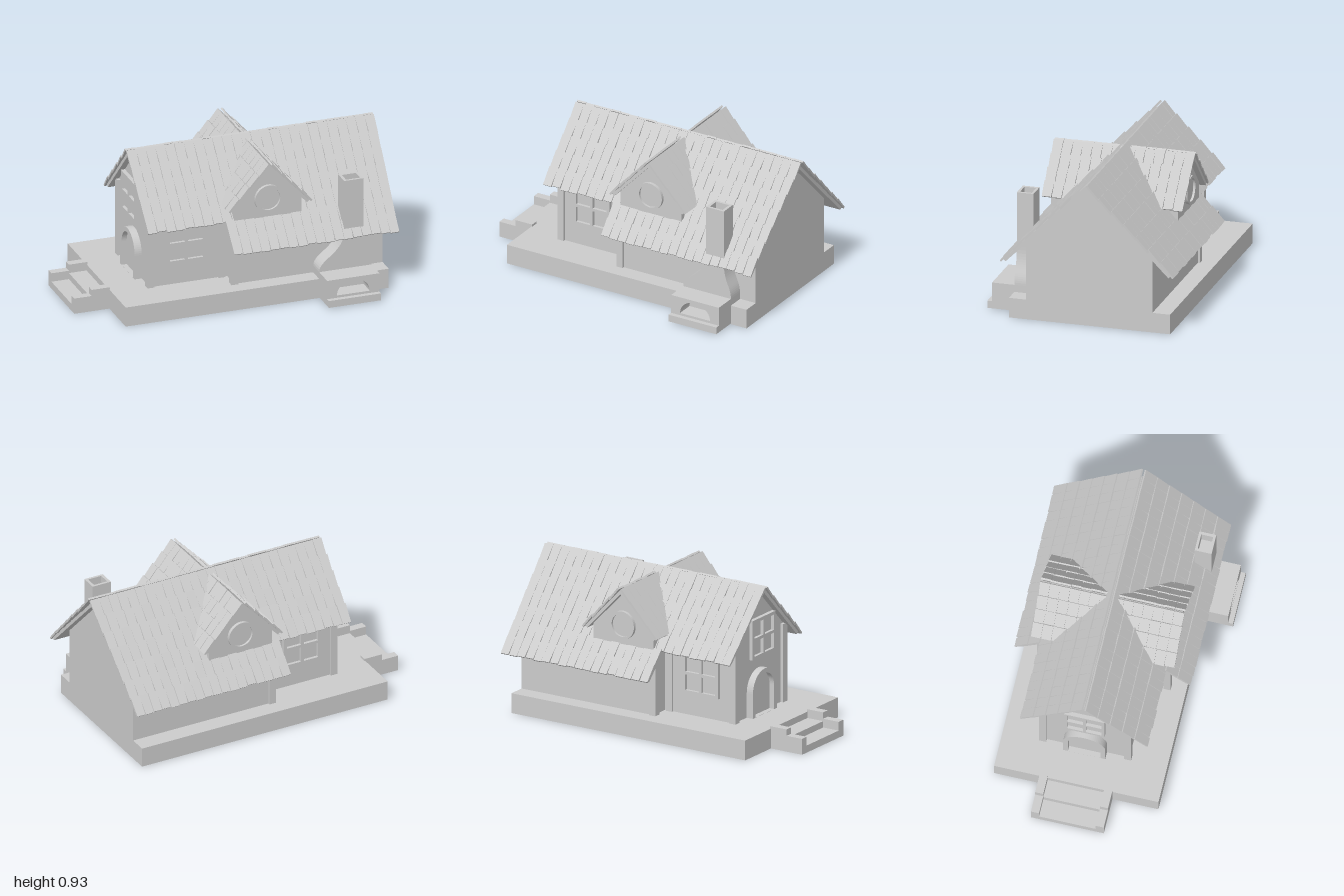
import * as THREE from 'three';
import { mergeGeometries } from 'three/addons/utils/BufferGeometryUtils.js';

const mat = new THREE.MeshStandardMaterial({ color: 0xcccccc, flatShading: true });
const ZC = -0.07; // ridge line in z
const DX = 0.175; // dormer centre in x

let seed = 7;
const rand = () => (seed = (seed * 16807) % 2147483647) / 2147483647 - 0.5;

function add(parent, name, geo) {
  const m = new THREE.Mesh(geo, mat);
  m.name = name;
  parent.add(m);
  return m;
}

function box(parent, name, x0, x1, y0, y1, z0, z1) {
  const g = new THREE.BoxGeometry(x1 - x0, y1 - y0, z1 - z0);
  g.translate((x0 + x1) / 2, (y0 + y1) / 2, (z0 + z1) / 2);
  return add(parent, name, g);
}

const poly = (pts) => new THREE.Shape(pts.map((p) => new THREE.Vector2(p[0], p[1])));
const extrude = (shape, depth) =>
  new THREE.ExtrudeGeometry(shape, { depth, bevelEnabled: false, curveSegments: 16 });

// House-shaped outline: straight sides, pointed top
const gable = (half, y0, ySide, yTop) =>
  poly([[-half, y0], [half, y0], [half, ySide], [0, yTop], [-half, ySide]]);

// Extrude a (z, y) outline along x
function extrudeX(shape, x0, x1) {
  const g = extrude(shape, x1 - x0);
  g.rotateY(Math.PI / 2);
  g.translate(x0, 0, ZC);
  return g;
}

// Arch outline standing on y0
function arch(r, y0, ySpring, ry = r) {
  const s = new THREE.Shape();
  s.moveTo(-r, y0);
  s.lineTo(r, y0);
  s.lineTo(r, ySpring);
  s.absellipse(0, ySpring, r, ry, 0, Math.PI, false);
  s.closePath();
  return s;
}

// Box on a slope: a runs along the ridge, v down the slope, w out of it
function slopeBox(f, a0, a1, v0, v1, w0, w1, { tilt = 0, twist = 0, taper = 1 } = {}) {
  const g = new THREE.BoxGeometry(a1 - a0, w1 - w0, v1 - v0);
  const p = g.attributes.position;
  for (let i = 0; i < p.count; i++) if (p.getZ(i) > 0) p.setX(i, p.getX(i) * taper);
  g.rotateX(-tilt);
  g.rotateY(twist);
  const X = new THREE.Vector3().crossVectors(f.n, f.d);
  const pos = f.o.clone()
    .addScaledVector(f.along, (a0 + a1) / 2)
    .addScaledVector(f.d, (v0 + v1) / 2)
    .addScaledVector(f.n, (w0 + w1) / 2);
  g.applyMatrix4(new THREE.Matrix4().makeBasis(X, f.n, f.d).setPosition(pos));
  return g;
}

// One row of overlapping shingles
function tileRow(f, a0, a1, row, pitch, out) {
  const n = Math.max(1, Math.round((a1 - a0) / 0.06));
  const w = (a1 - a0) / n;
  for (let i = 0; i < n; i++) {
    const j = rand() * 0.01;
    const lift = 0.008 + rand() * 0.004;
    out.push(slopeBox(f, a0 + i * w, a0 + (i + 1) * w, row * pitch, (row + 1) * pitch + 0.012 + j,
      lift - 0.006, lift + 0.006, { tilt: -0.07, twist: rand() * 0.06, taper: 0.92 }));
  }
}

// Four-pane window facing +z, centred on its own origin
function windowUnit(size) {
  const g = new THREE.Group();
  g.name = 'window';
  const h = size / 2, t = 0.02;
  const frame = poly([[-h, -h], [h, -h], [h, h], [-h, h]]);
  const gap = h - t, m = 0.009;
  for (const sx of [-1, 1]) for (const sy of [-1, 1]) {
    frame.holes.push(poly([[sx * m, sy * m], [sx * gap, sy * m], [sx * gap, sy * gap], [sx * m, sy * gap]]));
  }
  add(g, 'windowFrame', extrude(frame, 0.025));
  box(g, 'windowPane', -gap, gap, -gap, gap, -0.005, 0.006);
  return g;
}

function place(parent, obj, x, y, z, ry = 0) {
  obj.position.set(x, y, z);
  obj.rotation.y = ry;
  parent.add(obj);
}

function mainRoof(parent) {
  const c = Math.SQRT1_2, pitch = 0.107, tiles = [], boards = [];
  for (const s of [1, -1]) {
    const f = {
      o: new THREE.Vector3(0, 0.914, ZC), along: new THREE.Vector3(1, 0, 0),
      d: new THREE.Vector3(0, -c, s * c), n: new THREE.Vector3(0, c, s * c),
    };
    boards.push(slopeBox(f, -0.085, 0.955, 0, 0.745, -0.02, 0));
    boards.push(slopeBox(f, -0.575, -0.085, 0, 0.525, -0.02, 0));
    for (let r = 0; r < 7; r++) tileRow(f, r < 5 ? -0.59 : -0.093, 0.995 - r * 0.005, r, pitch, tiles);
  }
  add(parent, 'roofBoards', mergeGeometries(boards));
  add(parent, 'roofTiles', mergeGeometries(tiles));
}

// Dormer built facing +z; the ridge line of the house is at local z = 0
function dormer() {
  const g = new THREE.Group();
  g.name = 'dormer';
  const face = 0.4, front = 0.445, ang = Math.atan(1.05), rows = 4, pitch = 0.092;
  const c = Math.cos(ang), sn = Math.sin(ang);
  const wall = extrude(gable(0.215, 0.5, 0.64, 0.866), 0.33);
  wall.translate(0, 0, face - 0.33);
  add(g, 'dormerWall', wall);

  const tiles = [], boards = [];
  for (const s of [1, -1]) {
    const f = {
      o: new THREE.Vector3(0, 0.888, 0), along: new THREE.Vector3(0, 0, 1),
      d: new THREE.Vector3(s * c, -sn, 0), n: new THREE.Vector3(s * sn, c, 0),
    };
    for (let r = 0; r < rows; r++) {
      const start = Math.max(0.01, 0.93 - (0.888 - r * pitch * sn) - 0.05);
      boards.push(slopeBox(f, start, front - 0.012, r * pitch, (r + 1) * pitch, -0.02, 0));
      tileRow(f, start, front, r, pitch, tiles);
    }
  }
  add(g, 'dormerBoards', mergeGeometries(boards));
  add(g, 'dormerTiles', mergeGeometries(tiles));

  // Round window
  const ring = new THREE.Shape().absarc(0, 0, 0.088, 0, Math.PI * 2, false);
  ring.holes.push(new THREE.Path().absarc(0, 0, 0.072, 0, Math.PI * 2, true));
  const ringGeo = new THREE.ExtrudeGeometry(ring, { depth: 0.025, bevelEnabled: false, curveSegments: 24 });
  ringGeo.translate(0, 0.66, face - 0.005);
  add(g, 'roundWindowFrame', ringGeo);
  const pane = new THREE.CylinderGeometry(0.075, 0.075, 0.012, 32);
  pane.rotateX(Math.PI / 2);
  pane.translate(0, 0.66, face);
  add(g, 'roundWindowPane', pane);
  return g;
}

function chimney() {
  const g = new THREE.Group();
  g.name = 'chimney';
  const cx = 0.6325, cs = 0.6875;
  // Curved shoulder narrowing to the stack
  const s = new THREE.Shape();
  s.moveTo(0.465, 0.1);
  s.lineTo(0.8, 0.1);
  s.lineTo(0.8, 0.17);
  s.bezierCurveTo(0.8, 0.25, 0.75, 0.27, 0.75, 0.4);
  s.lineTo(0.75, 0.66);
  s.lineTo(0.625, 0.66);
  s.lineTo(0.625, 0.4);
  s.bezierCurveTo(0.61, 0.27, 0.465, 0.25, 0.465, 0.17);
  s.closePath();
  const body = extrude(s, 0.105);
  body.translate(0, 0, 0.33);
  add(g, 'chimneyBody', body);
  // Hollow top
  const rim = (w, d) => poly([[-w, -d], [w, -d], [w, d], [-w, d]]);
  const top = rim(0.0625, 0.0525);
  top.holes.push(rim(0.045, 0.037));
  const topGeo = extrude(top, 0.085);
  topGeo.rotateX(-Math.PI / 2);
  topGeo.translate(cs, 0.66, 0.3825);
  add(g, 'chimneyTop', topGeo);
  // Hearth with arched opening
  const h = poly([[-0.1675, 0.01], [0.1675, 0.01], [0.1675, 0.17], [-0.1675, 0.17]]);
  h.holes.push(arch(0.105, 0.065, 0.066, 0.09));
  const hearth = extrude(h, 0.11);
  hearth.translate(cx, 0, 0.465);
  add(g, 'hearth', hearth);
  box(g, 'hearthBack', 0.465, 0.8, 0.01, 0.17, 0.42, 0.466);
  box(g, 'hearthPlinth', 0.465, 0.8, 0.005, 0.05, 0.42, 0.605);
  return g;
}

function entrance(parent) {
  // Steps between low stepped side walls
  for (const z of [-0.3, 0.1]) {
    box(parent, 'stepWallLow', -1, -0.888, 0, 0.1, z, z + 0.05);
    box(parent, 'stepWallHigh', -0.888, -0.77, 0, 0.14, z, z + 0.05);
  }
  box(parent, 'lowerStep', -1, -0.888, 0, 0.045, -0.25, 0.1);
  box(parent, 'upperStep', -0.888, -0.77, 0, 0.085, -0.25, 0.1);
  // Arched door
  const door = new THREE.Group();
  door.name = 'door';
  const frame = arch(0.13, 0, 0.155);
  frame.holes.push(arch(0.1, 0.001, 0.155));
  add(door, 'doorFrame', extrude(frame, 0.045));
  add(door, 'doorPanel', extrude(arch(0.102, 0, 0.155), 0.012));
  place(parent, door, -0.535, 0.125, ZC, -Math.PI / 2);
}

export function createModel() {
  const house = new THREE.Group();
  house.name = 'house';

  box(house, 'platform', -0.775, 0.91, 0, 0.125, -0.58, 0.435);
  add(house, 'wideWalls', extrudeX(gable(0.398, 0.12, 0.492, 0.888), -0.04, 0.91));
  add(house, 'narrowWalls', extrudeX(gable(0.27, 0.12, 0.618, 0.888), -0.535, 0));

  // Corner posts, front and back
  for (const s of [1, -1]) {
    const post = (x, half, top) => {
      const z = ZC + s * half;
      box(house, 'cornerPost', x - 0.022, x + 0.022, 0.12, top, z - 0.022, z + 0.022);
    };
    post(-0.532, 0.262, 0.62);
    post(-0.04, 0.39, 0.49);
    post(-0.075, 0.262, 0.62);
    place(house, windowUnit(0.255), -0.308, 0.393, ZC + s * 0.27, s > 0 ? 0 : Math.PI);
    place(house, dormer(), DX, 0, ZC, s > 0 ? 0 : Math.PI);
  }
  place(house, windowUnit(0.25), -0.55, 0.615, ZC, -Math.PI / 2);

  mainRoof(house);
  house.add(chimney());
  entrance(house);
  return house;
}
